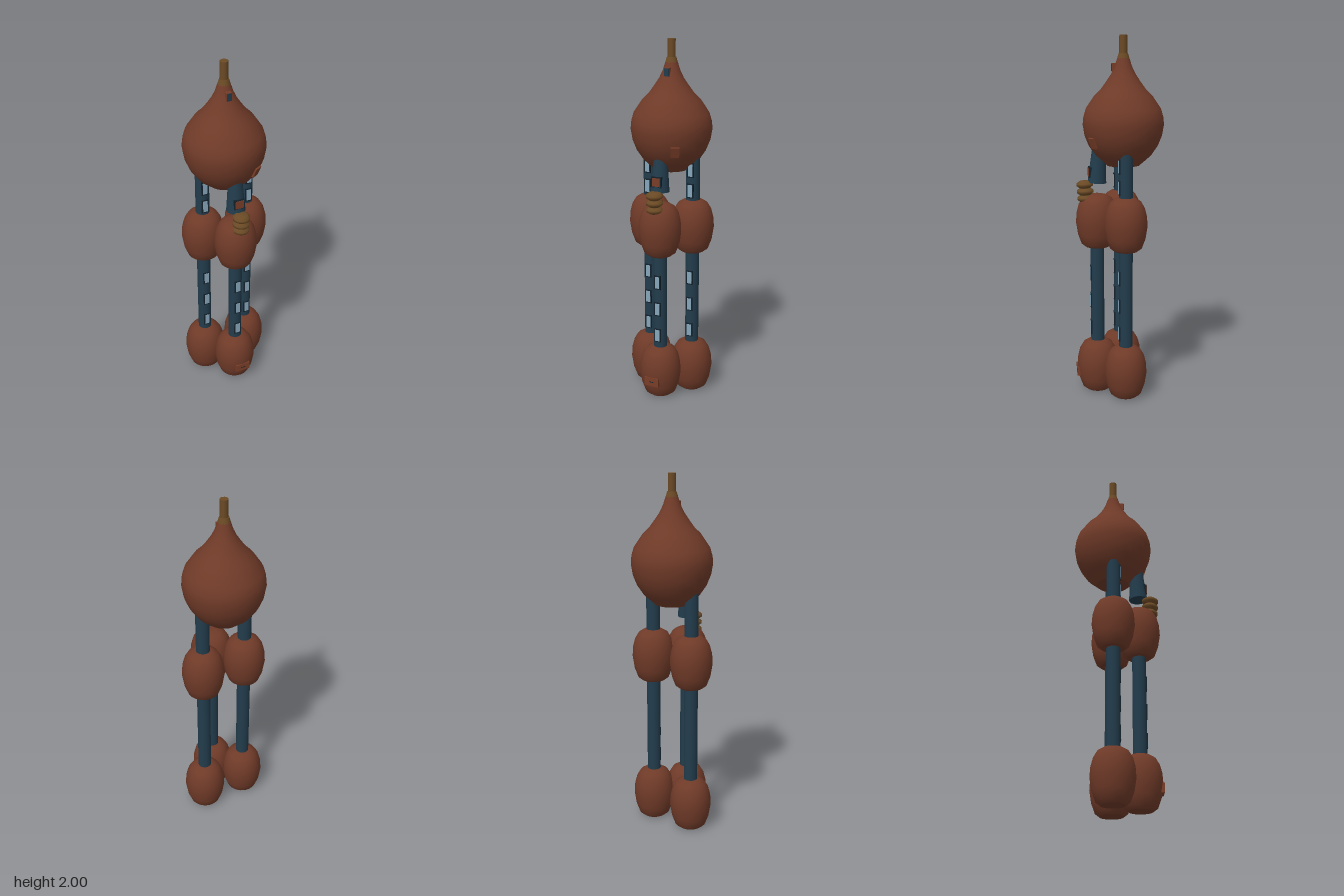
import * as THREE from 'three';

const mat = (name, color) => {
  const m = new THREE.MeshStandardMaterial({ color });
  m.name = name;
  return m;
};

export function createModel() {
  const model = new THREE.Group();
  const rust = mat('rust', 0x6f3a28);
  const hatchRust = mat('hatchRust', 0x783d27);
  const steel = mat('darkSteel', 0x223c4c);
  const brass = mat('brass', 0x6b4a25);
  const glass = mat('paleGlass', 0x86a6ba);
  const frame = mat('darkFrame', 0x14222c);

  const add = (name, geo, material, x = 0, y = 0, z = 0, parent = model) => {
    const mesh = new THREE.Mesh(geo, material);
    mesh.name = name;
    mesh.position.set(x, y, z);
    parent.add(mesh);
    return mesh;
  };
  const lathe = (pts, sides = 32) =>
    new THREE.LatheGeometry(pts.map(p => new THREE.Vector2(...p)), sides);
  const box = (w, h, d) => new THREE.BoxGeometry(w, h, d);
  const backZ = -0.02, frontZ = 0.126;

  // Turned bulb with a flat, sharp-edged underside
  const bulb = (name, pts, x, y, z) => {
    const g = new THREE.Group();
    g.name = name;
    g.position.set(x, y, z);
    add(name + 'Shell', lathe(pts), rust, 0, 0, 0, g);
    const base = add(name + 'Base', new THREE.CircleGeometry(pts[0][0], 32), rust, 0, pts[0][1], 0, g);
    base.rotation.x = Math.PI / 2;
    model.add(g);
  };

  // Head: onion-shaped tank with collar and stem
  bulb('head', [
    [0.09, 1.3], [0.153, 1.355], [0.19, 1.41], [0.212, 1.465], [0.222, 1.525], [0.218, 1.565],
    [0.205, 1.61], [0.158, 1.68], [0.122, 1.715], [0.093, 1.755], [0.066, 1.795],
    [0.047, 1.835], [0.034, 1.875], [0.024, 1.9],
  ], 0, 0, backZ);
  add('collar', new THREE.CylinderGeometry(0.025, 0.037, 0.04, 16), brass, 0, 1.885, backZ);
  add('stem', new THREE.CylinderGeometry(0.022, 0.022, 0.12, 10), brass, 0, 1.94, backZ);

  // Feet and knees: three rounded pods at each level
  const podProfile = [
    [0.065, 0], [0.088, 0.018], [0.107, 0.07], [0.118, 0.14], [0.114, 0.195],
    [0.102, 0.24], [0.082, 0.274], [0.055, 0.291], [0.03, 0.297], [0, 0.298],
  ];
  const legs = [['left', 0.13, backZ], ['right', -0.13, backZ], ['front', 0, frontZ]];

  // Small window plate with a dark surround
  const addWindow = (side, x, y, z) => {
    add(side + 'WindowFrame', box(0.038, 0.082, 0.009), frame, x, y, z + 0.0355);
    add(side + 'Window', box(0.026, 0.068, 0.009), glass, x, y, z + 0.0375);
  };

  for (const [side, x, z] of legs) {
    bulb(side + 'Foot', podProfile, x, 0, z);
    bulb(side + 'Knee', podProfile, x, 0.845, z);
    add(side + 'LowerLeg', new THREE.CylinderGeometry(0.038, 0.038, 0.64, 20), steel, x, 0.57, z);
    for (const y of [0.37, 0.53, 0.69]) addWindow(side, x, y, z);
    if (side !== 'front') {
      add(side + 'UpperLeg', new THREE.CylinderGeometry(0.038, 0.038, 0.32, 20), steel, x, 1.26, z);
      for (const y of [1.195, 1.31]) addWindow(side, x, y, z);
    }
  }

  // Front stub hanging from the head, with a bellows below it
  const stub = add('frontStub', new THREE.CylinderGeometry(0.036, 0.052, 0.2, 20), steel, 0, 1.305, 0.12);
  stub.rotation.x = -0.06;
  add('stubHatchFrame', box(0.058, 0.058, 0.03), frame, 0, 1.265, 0.157);
  add('stubHatch', box(0.046, 0.046, 0.032), hatchRust, 0, 1.265, 0.159);

  const ribs = [[0, 0]];
  for (let i = 0; i < 3; i++) {
    const y = i * 0.039;
    ribs.push([0.03, y], [0.045, y + 0.011], [0.046, y + 0.025], [0.03, y + 0.037]);
  }
  ribs.push([0, 0.117]);
  const bellows = add('bellows', lathe(ribs, 24), brass, 0, 1.1, 0.188);
  bellows.rotation.x = 0.06;

  // Hatches on the head and front foot
  add('neckVent', box(0.03, 0.045, 0.03), hatchRust, 0, 1.83, 0.027);
  add('neckVentFace', box(0.027, 0.041, 0.006), steel, 0, 1.83, 0.042);
  const headHatch = add('headHatch', box(0.046, 0.06, 0.02), hatchRust, 0.1, 1.435, 0.152);
  headHatch.rotation.set(0.35, 0.53, 0, 'YXZ');
  add('footHatch', box(0.085, 0.05, 0.03), hatchRust, 0, 0.115, 0.232);
  add('footHatchSlot', box(0.03, 0.004, 0.004), frame, 0, 0.115, 0.2465);

  return model;
}
